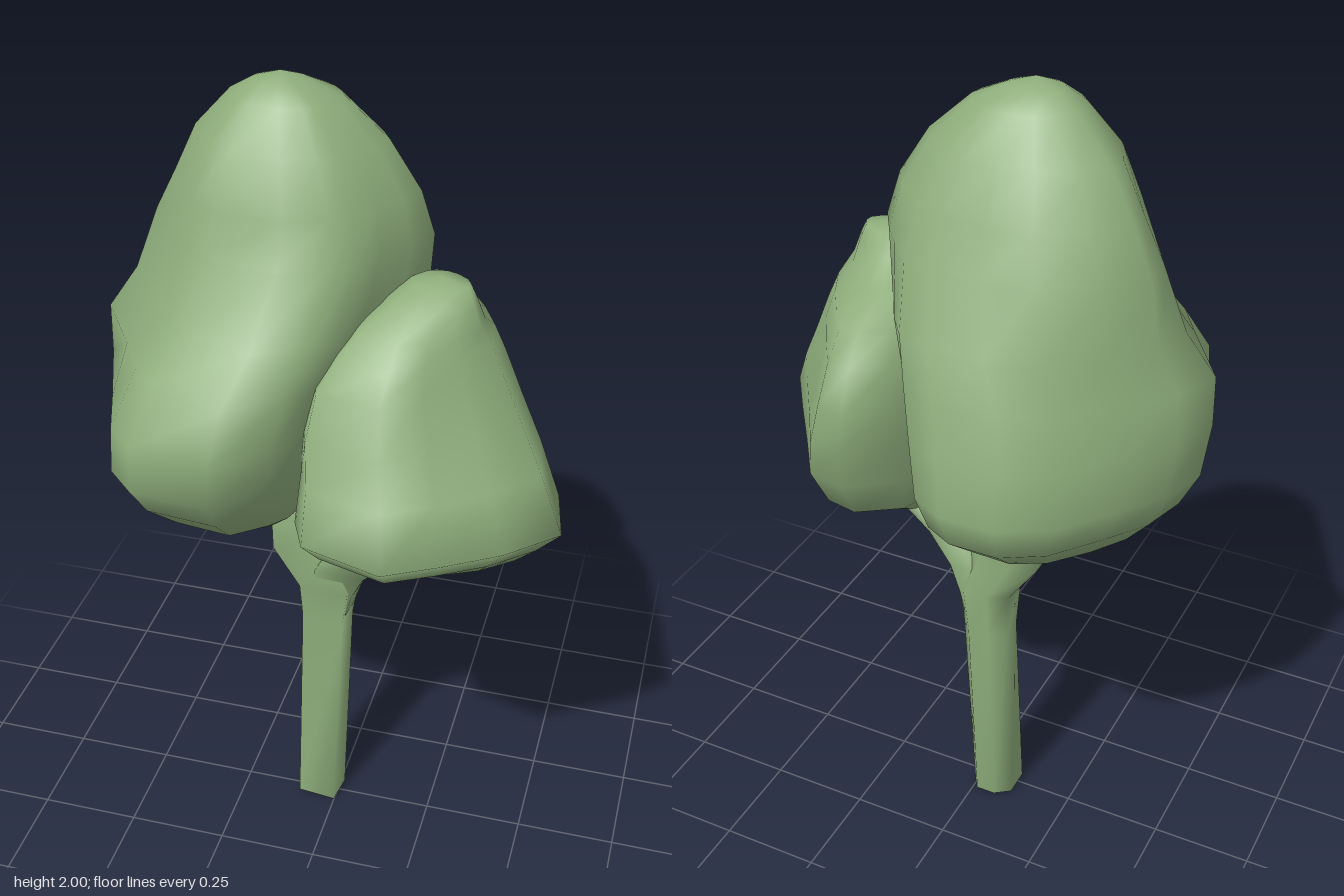
import * as THREE from 'three';

const material = new THREE.MeshStandardMaterial({ color: 0x8fae7c, roughness: 0.9 });

// Stretch an outline of [x, z] points to the unit square -1..1
function normalise(points) {
  const box = new THREE.Box2().setFromPoints(points.map(([x, z]) => new THREE.Vector2(x, z)));
  const c = box.getCenter(new THREE.Vector2()), s = box.getSize(new THREE.Vector2());
  return points.map(([x, z]) => [(x - c.x) / s.x * 2, (z - c.y) / s.y * 2]);
}

// Skin level rings [y, xMin, xMax, zMin, zMax, roundness, back, front] that share one outline;
// back and front swell (+) or trim (-) the two corners on the -x side.
// The outline runs -x, -z, +x, +z. Caps close at the given heights.
function loft(name, outline, levels, bottomY, topY) {
  const plan = normalise(outline), n = plan.length, pos = [], index = [];
  for (const [y, x0, x1, z0, z1, round = 0, back = 0, front = 0] of levels) {
    for (const [u, v] of plan) {
      const corner = u < 0 ? Math.abs(u * v) * (v < 0 ? back : front) : 0;
      const k = (1 + (1 / Math.hypot(u, v) - 1) * round) * (1 + corner);
      pos.push((x0 + x1) / 2 + u * k * (x1 - x0) / 2, y, (z0 + z1) / 2 + v * k * (z1 - z0) / 2);
    }
  }
  for (let r = 0; r < levels.length - 1; r++) {
    for (let i = 0; i < n; i++) {
      const a = r * n + i, b = r * n + (i + 1) % n;
      index.push(a, a + n, b, b, a + n, b + n);
    }
  }
  const centre = ([, x0, x1, z0, z1], y) => pos.push((x0 + x1) / 2, y, (z0 + z1) / 2);
  const low = levels.length * n, high = low + 1, last = low - n;
  centre(levels[0], bottomY);
  centre(levels[levels.length - 1], topY);
  for (let i = 0; i < n; i++) {
    const j = (i + 1) % n;
    index.push(low, i, j, high, last + j, last + i);
  }
  const geometry = new THREE.BufferGeometry();
  geometry.setAttribute('position', new THREE.Float32BufferAttribute(pos, 3));
  geometry.setIndex(index);
  geometry.computeVertexNormals();
  const mesh = new THREE.Mesh(geometry, material);
  mesh.name = name;
  return mesh;
}

export function createModel() {
  const tree = new THREE.Group();
  tree.name = 'tree';

  // Tall crown
  const tallPlan = [[-0.56, -0.03], [-0.52, -0.15], [-0.43, -0.26], [-0.32, -0.38], [-0.2, -0.44],
    [-0.05, -0.44], [0.04, -0.4], [0.09, -0.31], [0.14, -0.2], [0.2, -0.08], [0.13, 0.05],
    [0.06, 0.15], [0.03, 0.26], [-0.02, 0.32], [-0.14, 0.42], [-0.36, 0.4], [-0.44, 0.33], [-0.49, 0.18]];
  tree.add(loft('tallCrown', tallPlan, [
    [0.93, -0.34, -0.08, -0.14, 0.14, 0.5],
    [1.0, -0.44, 0.02, -0.33, 0.26, 0.2],
    [1.08, -0.51, 0.07, -0.42, 0.34],
    [1.16, -0.55, 0.11, -0.44, 0.39],
    [1.28, -0.56, 0.14, -0.42, 0.42, 0, 0, -0.12],
    [1.4, -0.56, 0.17, -0.39, 0.38, 0, -0.08, -0.38],
    [1.5, -0.49, 0.19, -0.35, 0.3, 0.2, 0.1, -0.35],
    [1.65, -0.43, 0.2, -0.28, 0.2, 0.4, 0.45, -0.15],
    [1.75, -0.38, 0.17, -0.24, 0.16, 0.5, 0.45],
    [1.86, -0.33, 0.1, -0.2, 0.12, 0.6, 0.3],
    [1.95, -0.25, 0.0, -0.14, 0.05, 0.7],
    [1.98, -0.2, -0.07, -0.09, 0.01, 0.7],
  ], 0.92, 2));

  // Low side crown
  const sidePlan = [[-0.02, 0.28], [-0.02, 0.1], [0.01, -0.1], [0.08, -0.3], [0.19, -0.38], [0.28, -0.36],
    [0.36, -0.24], [0.45, -0.11], [0.53, 0.01], [0.56, 0.17], [0.45, 0.28], [0.33, 0.36],
    [0.21, 0.43], [0.02, 0.37]];
  tree.add(loft('sideCrown', sidePlan, [
    [0.88, 0.12, 0.36, -0.07, 0.11, 0.5],
    [0.93, 0.04, 0.45, -0.19, 0.22, 0.2],
    [1.0, 0, 0.5, -0.31, 0.34],
    [1.09, -0.02, 0.56, -0.35, 0.435],
    [1.2, -0.01, 0.5, -0.38, 0.37, 0, 0, 0.05],
    [1.3, 0, 0.44, -0.38, 0.3, 0, 0, 0.18],
    [1.4, 0.02, 0.39, -0.35, 0.25, 0.1, 0, 0.25],
    [1.46, 0.05, 0.36, -0.29, 0.2, 0.2, 0, 0.25],
    [1.5, 0.07, 0.34, -0.16, 0.16, 0.4, 0, 0.15],
    [1.55, 0.12, 0.32, -0.09, 0.11, 0.6],
    [1.58, 0.17, 0.3, -0.05, 0.05, 0.7],
  ], 0.87, 1.59));

  // Six-sided trunk that bends into the branch under the tall crown
  const trunkPlan = [[-1, 0.8], [-1, -0.5], [-0.3, -1], [0.6, -1], [1, -0.4], [0.8, 1]];
  tree.add(loft('trunk', trunkPlan, [
    [0, -0.1, 0.01, -0.07, 0.04],
    [0.57, -0.1, 0.02, -0.1, -0.015],
    [0.68, -0.1, 0.04, -0.095, 0.01],
    [0.78, -0.17, 0.01, -0.09, 0],
    [0.85, -0.175, -0.02, -0.1, -0.01],
    [0.93, -0.18, -0.05, -0.11, -0.02],
    [0.97, -0.17, -0.07, -0.11, -0.03],
  ], 0, 0.98));

  // Branch to the side crown, growing out of the trunk
  tree.add(loft('sideBranch', trunkPlan, [
    [0.57, -0.06, 0.015, -0.09, -0.025],
    [0.67, -0.06, 0.045, -0.09, 0],
    [0.74, -0.06, 0.08, -0.085, 0.015],
    [0.81, -0.02, 0.15, -0.07, 0.035],
    [0.87, 0.12, 0.22, -0.06, 0.04],
    [0.93, 0.18, 0.26, -0.04, 0.04],
  ], 0.57, 0.94));

  return tree;
}
